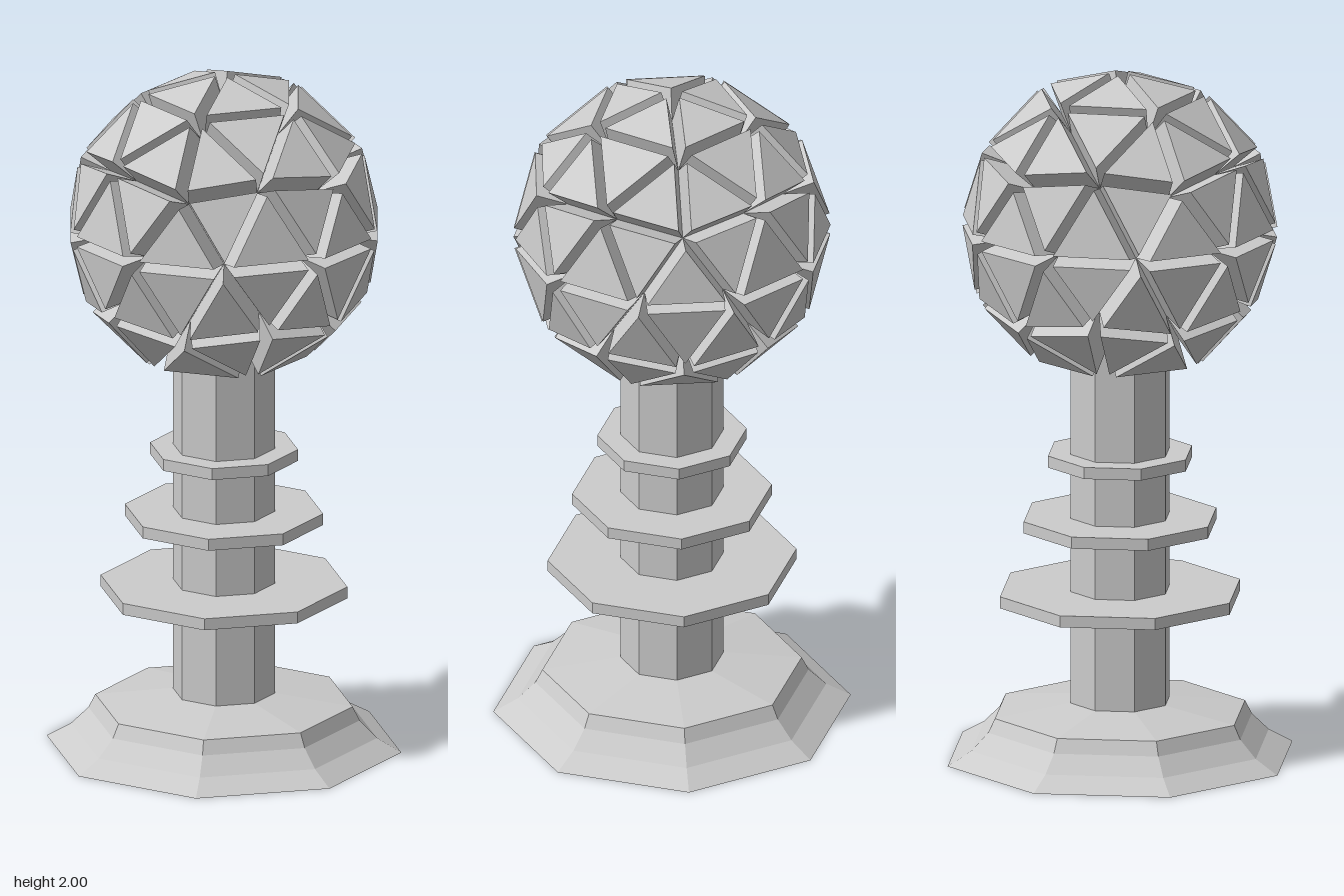
import * as THREE from 'three';

const material = new THREE.MeshStandardMaterial({ color: 0xcccccc, flatShading: true, side: THREE.DoubleSide });

function addPart(group, name, geometry, y = 0) {
  const mesh = new THREE.Mesh(geometry, material);
  mesh.name = name;
  mesh.position.y = y;
  group.add(mesh);
}

// Unit icosahedron standing on a corner, each face split in four on the sphere
function sphereFaces() {
  const ring = (y, turn) => Array.from({ length: 5 }, (_, k) => {
    const a = (k * 72 + turn) * Math.PI / 180, r = Math.sqrt(1 - y * y);
    return new THREE.Vector3(r * Math.cos(a), y, r * Math.sin(a));
  });
  const h = 1 / Math.sqrt(5);
  const upper = ring(h, 0), lower = ring(-h, 36);
  const top = new THREE.Vector3(0, 1, 0), bottom = new THREE.Vector3(0, -1, 0);
  const faces = [];
  for (let k = 0; k < 5; k++) {
    const n = (k + 1) % 5;
    faces.push([top, upper[n], upper[k]], [upper[k], upper[n], lower[k]],
      [lower[k], upper[n], lower[n]], [bottom, lower[k], lower[n]]);
  }
  const mid = (a, b) => a.clone().add(b).normalize();
  return faces.flatMap(([a, b, c]) => {
    const ab = mid(a, b), bc = mid(b, c), ca = mid(c, a);
    return [[a, ab, ca], [ab, b, bc], [ca, bc, c], [ab, bc, ca]];
  });
}

// Every facet is pushed straight out along its own normal, leaving V-shaped grooves
function studdedSphere(radius, depth) {
  const positions = [];
  const tri = (...pts) => pts.forEach((p) => positions.push(p.x, p.y, p.z));
  for (const face of sphereFaces()) {
    const base = face.map((p) => p.clone().multiplyScalar(radius));
    const normal = new THREE.Vector3();
    new THREE.Triangle(...base).getNormal(normal);
    if (normal.dot(base[0]) < 0) {
      base.reverse();
      normal.negate();
    }
    // The facets around the lowest point meet the stem and stay flat
    if (face.some((p) => p.y < -0.99)) {
      tri(...base);
      continue;
    }
    const cap = base.map((p) => p.clone().addScaledVector(normal, depth));
    tri(...cap);
    for (let i = 0; i < 3; i++) {
      const j = (i + 1) % 3;
      tri(base[i], base[j], cap[j]);
      tri(base[i], cap[j], cap[i]);
    }
  }
  const geometry = new THREE.BufferGeometry();
  geometry.setAttribute('position', new THREE.Float32BufferAttribute(positions, 3));
  geometry.computeVertexNormals();
  return geometry;
}

export function createModel() {
  const group = new THREE.Group();
  group.name = 'studdedSphereOnStand';

  // Eight-sided flared foot
  const profile = [[0, 0], [0.51, 0], [0.44, 0.04], [0.39, 0.09], [0.37, 0.13], [0.145, 0.16]];
  addPart(group, 'foot', new THREE.LatheGeometry(profile.map(([r, y]) => new THREE.Vector2(r, y)), 8));

  // Stem
  addPart(group, 'stem', new THREE.CylinderGeometry(0.147, 0.147, 1.09, 8, 1, true), 0.695);

  // Collars, smaller towards the top
  [[0.355, 0.47], [0.285, 0.685], [0.213, 0.873]].forEach(([r, y], i) =>
    addPart(group, `collar${i + 1}`, new THREE.CylinderGeometry(r, r, 0.034, 8), y));

  // Head
  addPart(group, 'head', studdedSphere(0.36, 0.095), 1.55);
  return group;
}
